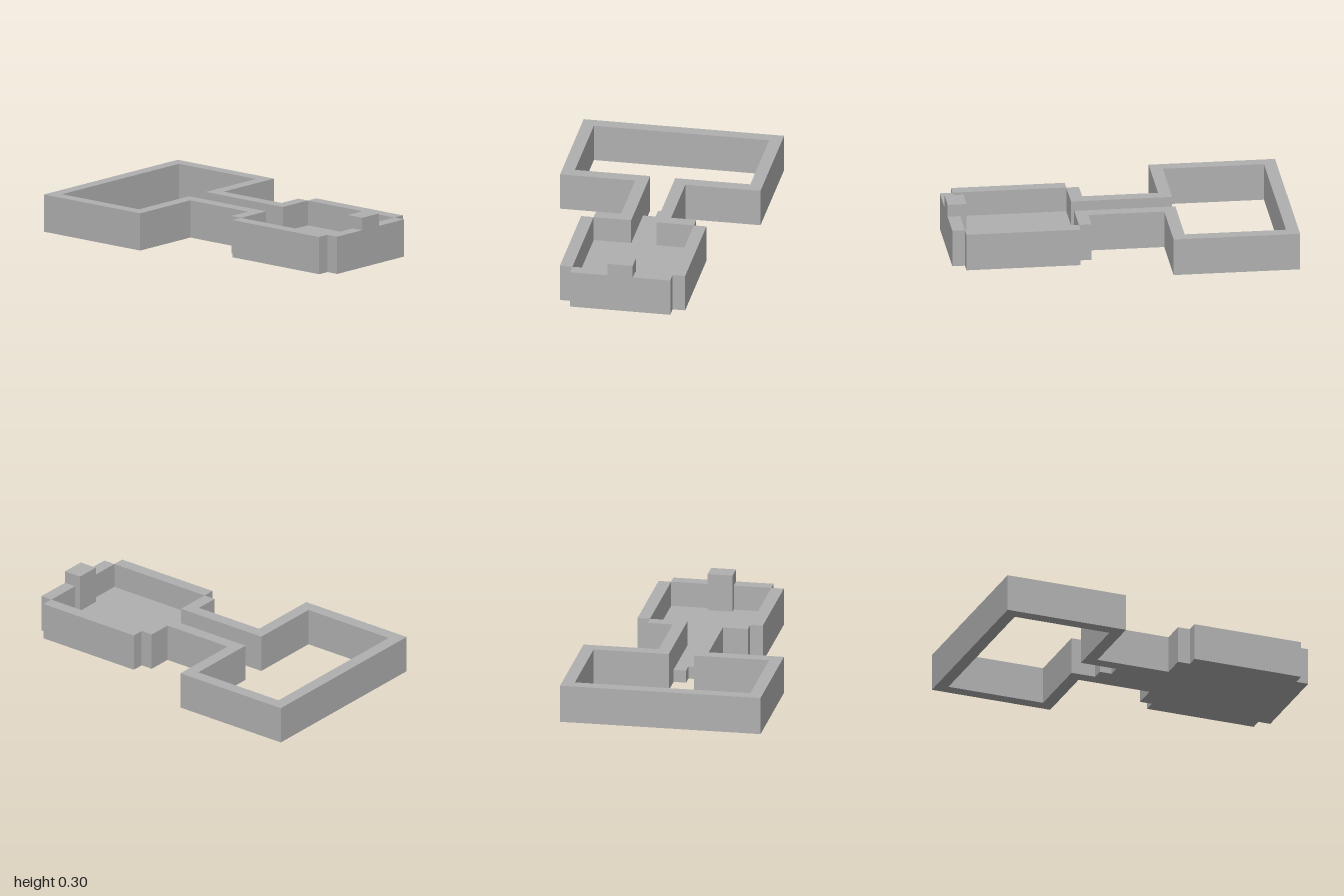
import * as THREE from 'three';

// One grid cell: the plan is 27 cells long and 16 cells deep
const CELL = 2 / 27;

// Extrude a plan outline of [x, z] cell corners from the ground up
function slab(name, outline, height, material) {
  const shape = new THREE.Shape(outline.map(([x, z]) => new THREE.Vector2(x * CELL, z * CELL)));
  const geometry = new THREE.ExtrudeGeometry(shape, { depth: height * CELL, bevelEnabled: false });
  geometry.rotateX(Math.PI / 2);
  geometry.translate(0, height * CELL, 0);
  const mesh = new THREE.Mesh(geometry, material);
  mesh.name = name;
  return mesh;
}

const rect = (x0, x1, z0, z1) => [[x0, z0], [x1, z0], [x1, z1], [x0, z1]];
const mirrorZ = (points) => points.map(([x, z]) => [x, -z]).reverse();

export function createModel() {
  const group = new THREE.Group();
  group.name = 'walledPlan';
  const stone = new THREE.MeshStandardMaterial({ color: 0xb0b0b0 });
  stone.name = 'grey stone';

  // Continuous wall round the courtyard, along the passage and into the room
  const outer = [[3.5, 4], [2.5, 4], [2.5, 2], [-3.5, 2], [-3.5, 8], [-13.5, 8]];
  const inner = [[-12.5, 7], [-4.5, 7], [-4.5, 1], [3.5, 1]];
  const wall = [...outer, ...mirrorZ(outer), ...mirrorZ(inner), ...inner.slice()];
  group.add(slab('courtyardAndPassageWall', wall, 3, stone));

  // Room side walls and the end wall on each side of the post
  for (const [side, s] of [['front', 1], ['back', -1]]) {
    group.add(slab(side + 'RoomWall', rect(3.5, 12.5, 4 * s, 5 * s), 3, stone));
    group.add(slab(side + 'EndWall', rect(12.5, 13.5, 1 * s, 4 * s), 3, stone));
  }

  // Taller post in the middle of the end wall
  group.add(slab('endPost', rect(12, 13.5, -1, 1), 4, stone));

  // Low floor of the room and passage with its stepped end
  group.add(slab('floor', [
    [-2.5, -1], [3.5, -1], [3.5, -4], [12.5, -4], [12.5, -1], [12, -1], [12, 1],
    [12.5, 1], [12.5, 4], [3.5, 4], [3.5, 1], [-1.5, 1], [-1.5, 0], [-2.5, 0],
  ], 1, stone));

  return group;
}
